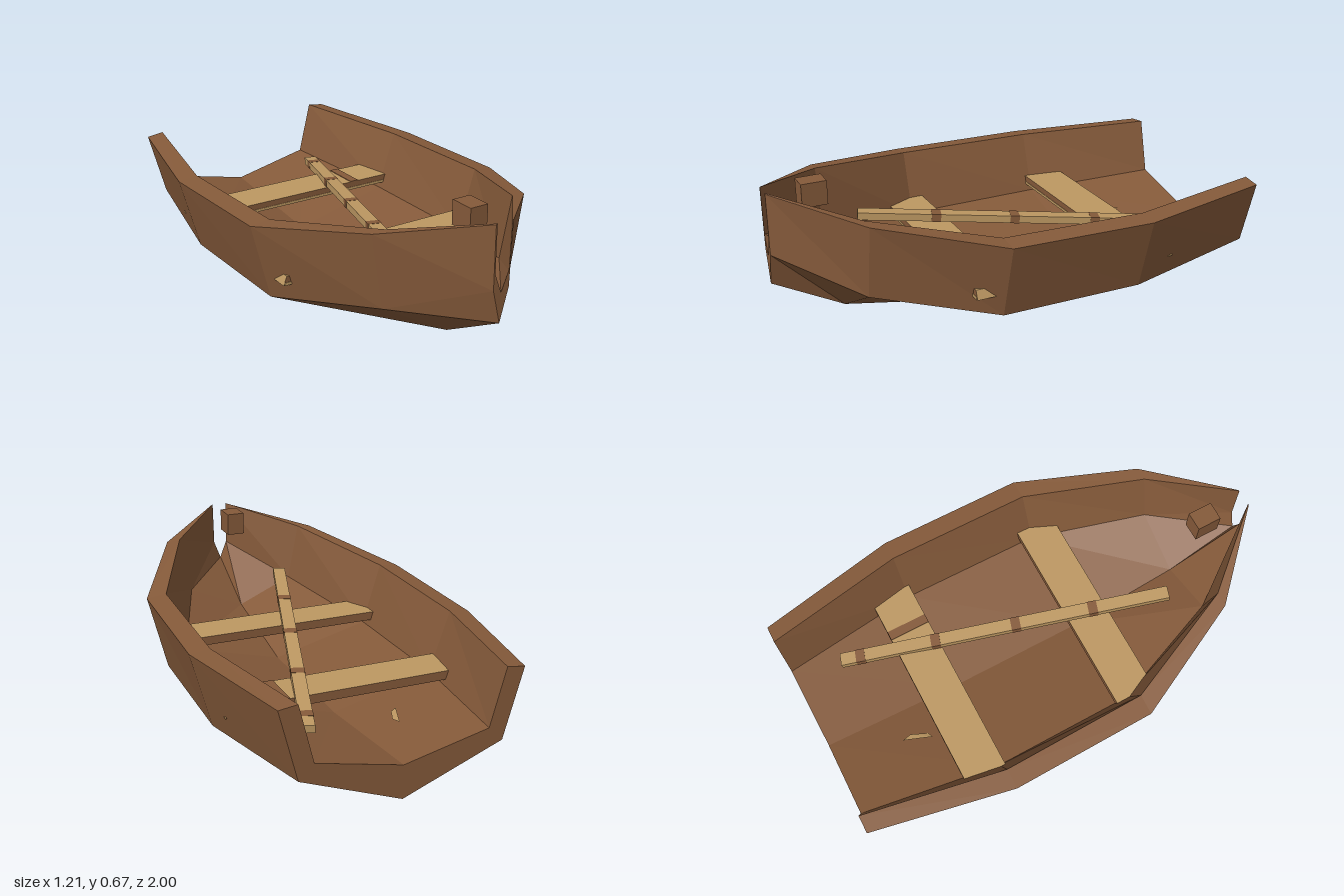
import * as THREE from 'three';

const wood = new THREE.MeshStandardMaterial({ color: 0x855a3a });
wood.name = 'brown wood';
const pale = new THREE.MeshStandardMaterial({ color: 0xbd9862 });
pale.name = 'pale wood';

function box(name, material, size, position) {
  const mesh = new THREE.Mesh(new THREE.BoxGeometry(...size), material);
  mesh.name = name;
  mesh.position.set(...position);
  return mesh;
}

// Hull: half sections from stern to bow, mirrored and joined into one solid shell
function makeHull() {
  // z, then x,y of: outer keel, outer chine, outer rim, inner rim, inner chine, inner keel
  const stations = [
    [-1, 0, 0.06, 0.41, 0.22, 0.485, 0.505, 0.41, 0.515, 0.35, 0.28, 0, 0.2],
    [-0.4, 0, 0.005, 0.52, 0.18, 0.605, 0.495, 0.52, 0.505, 0.435, 0.25, 0, 0.14],
    [0.22, 0, 0.005, 0.515, 0.185, 0.595, 0.508, 0.51, 0.518, 0.43, 0.25, 0, 0.14],
    [0.7, 0, 0.1, 0.31, 0.28, 0.36, 0.595, 0.3, 0.6, 0.25, 0.345, 0, 0.235],
    [1, 0, 0.265, 0.036, 0.405, 0.04, 0.665, 0.034, 0.668, 0.031, 0.47, 0, 0.39],
  ];
  const rings = stations.map(([z, ...p]) => {
    const half = [0, 1, 2, 3, 4, 5].map((i) => [p[2 * i], p[2 * i + 1], z]);
    const mirrored = half.slice(1, 5).reverse().map(([x, y]) => [-x, y, z]);
    return [...half, ...mirrored];
  });
  const out = [];
  const quad = (a, b, c, d) => out.push(...a, ...b, ...c, ...a, ...c, ...d);
  for (let i = 0; i < rings.length - 1; i++) {
    for (let j = 0; j < 10; j++) {
      const k = (j + 1) % 10;
      quad(rings[i][j], rings[i][k], rings[i + 1][k], rings[i + 1][j]);
    }
  }
  // End faces of the planking at bow and stern
  const bow = rings[rings.length - 1], stern = rings[0];
  for (const [a, b, c, d] of [[0, 1, 4, 5], [1, 2, 3, 4], [5, 6, 9, 0], [6, 7, 8, 9]]) {
    quad(bow[a], bow[b], bow[c], bow[d]);
    quad(stern[d], stern[c], stern[b], stern[a]);
  }
  const geometry = new THREE.BufferGeometry();
  geometry.setAttribute('position', new THREE.Float32BufferAttribute(out, 3));
  geometry.computeVertexNormals();
  const mesh = new THREE.Mesh(geometry, wood);
  mesh.name = 'hull';
  return mesh;
}

// Bench: plank with sloped ends, brown front and back faces
function makeBench(name, z0, z1) {
  const group = new THREE.Group();
  group.name = name;
  const shape = new THREE.Shape();
  shape.moveTo(-0.52, 0.28);
  shape.lineTo(0.52, 0.28);
  shape.lineTo(0.505, 0.318);
  shape.lineTo(-0.505, 0.318);
  shape.closePath();
  const geometry = new THREE.ExtrudeGeometry(shape, { depth: z1 - z0, bevelEnabled: false });
  const plank = new THREE.Mesh(geometry, [wood, pale]);
  plank.name = name + 'Plank';
  plank.position.z = z0;
  group.add(plank, box(name + 'Edge', pale, [1.03, 0.012, 0.004], [0, 0.286, z1]));
  return group;
}

// Oar: sloping shaft with four brown bands
function makeOar() {
  const rear = new THREE.Vector3(0.285, 0.3, -0.79);
  const front = new THREE.Vector3(-0.15, 0.425, 0.575);
  const length = rear.distanceTo(front);
  const oar = new THREE.Group();
  oar.name = 'oar';
  oar.position.copy(rear).lerp(front, 0.5);
  oar.lookAt(front);
  oar.add(box('oarShaft', pale, [0.055, 0.032, length], [0, 0, 0]));
  for (const t of [0.06, 0.29, 0.535, 0.77]) {
    oar.add(box('oarBand', wood, [0.057, 0.034, 0.04], [0, 0, (t - 0.5) * length]));
  }
  return oar;
}

// Splinter of pale wood showing through the floor
function makeFloorSliver() {
  const geometry = new THREE.BufferGeometry();
  geometry.setAttribute('position', new THREE.Float32BufferAttribute([
    -0.18, 0.212, -0.59, -0.155, 0.205, -0.6, -0.125, 0.208, -0.67,
    -0.18, 0.212, -0.59, -0.125, 0.208, -0.67, -0.135, 0.213, -0.71,
  ], 3));
  geometry.computeVertexNormals();
  const mesh = new THREE.Mesh(geometry, pale);
  mesh.name = 'floorSliver';
  return mesh;
}

export function createModel() {
  const boat = new THREE.Group();
  boat.name = 'rowingBoat';
  boat.add(
    makeHull(),
    makeBench('frontBench', 0.16, 0.335),
    makeBench('rearBench', -0.56, -0.38),
    box('benchStripe', wood, [0.04, 0.004, 0.18], [0.28, 0.319, -0.47]),
    box('bowBlock', wood, [0.08, 0.1, 0.105], [0, 0.628, 0.807]),
    makeOar(),
    makeFloorSliver(),
  );
  return boat;
}
